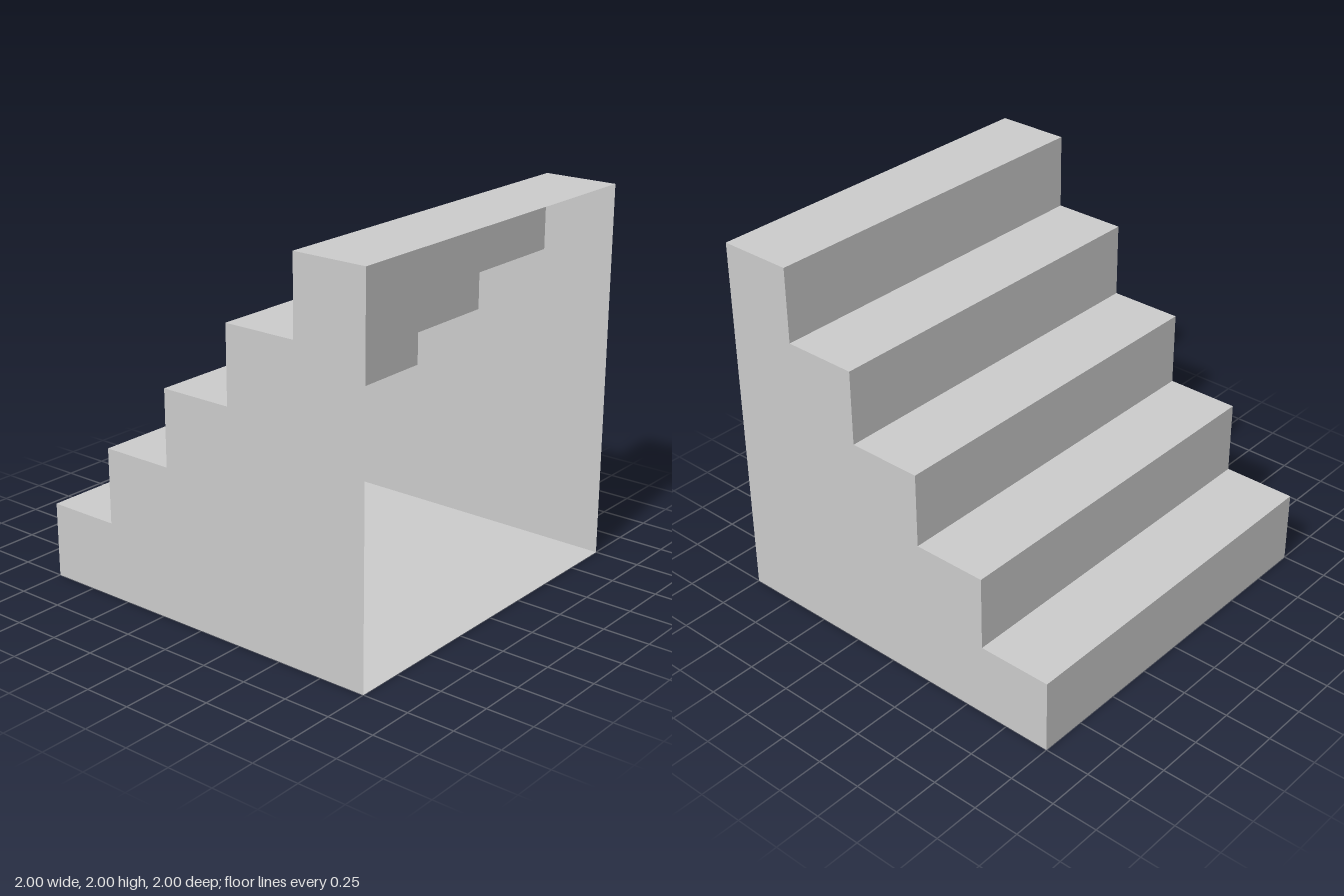
import * as THREE from 'three';

const STEPS = 5;
const SIZE = 2;
const STEP = SIZE / STEPS;
const HALF = SIZE / 2;

export function createModel() {
  const model = new THREE.Group();
  model.name = 'staircase';
  // Thin open shell, visible from inside and outside
  const material = new THREE.MeshStandardMaterial({
    color: 0xcccccc, flatShading: true, side: THREE.DoubleSide,
  });

  const addPanel = (name, geometry, x, y, z) => {
    const mesh = new THREE.Mesh(geometry, material);
    mesh.name = name;
    mesh.position.set(x, y, z);
    model.add(mesh);
    return mesh;
  };

  // Floor, facing down
  addPanel('floor', new THREE.PlaneGeometry(SIZE, SIZE).rotateX(Math.PI / 2), 0, 0, 0);

  // Risers face the back, treads face up; the stair climbs towards the open front
  const riser = new THREE.PlaneGeometry(SIZE, STEP).rotateY(Math.PI);
  const tread = new THREE.PlaneGeometry(SIZE, STEP).rotateX(-Math.PI / 2);
  for (let i = 0; i < STEPS; i++) {
    const z = -HALF + i * STEP;
    addPanel(`riser${i + 1}`, riser, 0, (i + 0.5) * STEP, z);
    addPanel(`tread${i + 1}`, tread, 0, (i + 1) * STEP, z + STEP / 2);
  }

  // Stepped side walls: profile drawn in (z, y), then turned to face sideways
  const profile = new THREE.Shape();
  profile.moveTo(HALF, 0);
  profile.lineTo(-HALF, 0);
  for (let i = 0; i < STEPS; i++) {
    const z = -HALF + i * STEP;
    profile.lineTo(z, (i + 1) * STEP);
    profile.lineTo(z + STEP, (i + 1) * STEP);
  }
  profile.closePath();
  const wall = new THREE.ShapeGeometry(profile).rotateY(-Math.PI / 2);
  addPanel('rightWall', wall, -HALF, 0, 0);
  addPanel('leftWall', wall, HALF, 0, 0).scale.x = -1;

  return model;
}
